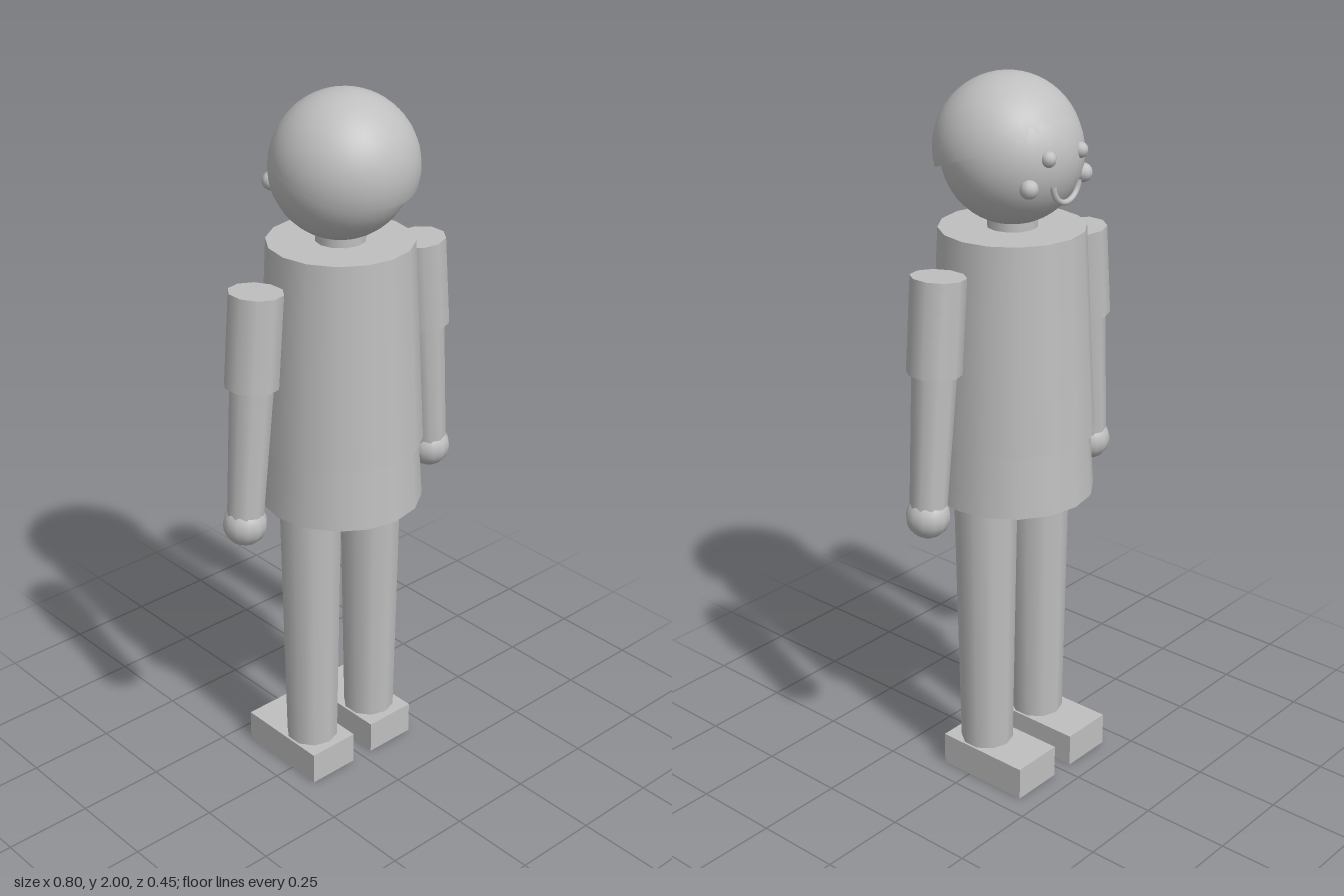
import * as THREE from 'three';

export function createModel() {
  const model = new THREE.Group();
  const grey = new THREE.MeshStandardMaterial({ color: 0xbfbfbf });
  grey.name = 'plainGrey';
  const greyOpen = new THREE.MeshStandardMaterial({ color: 0xbfbfbf, side: THREE.DoubleSide });
  greyOpen.name = 'plainGreyOpen';

  const add = (parent, name, geometry, x, y, z, material = grey) => {
    const mesh = new THREE.Mesh(geometry, material);
    mesh.name = name;
    mesh.position.set(x, y, z);
    parent.add(mesh);
    return mesh;
  };
  // Tapered round part spanning bottom to top
  const taper = (parent, name, rTop, rBottom, top, bottom, sides, x = 0) =>
    add(parent, name, new THREE.CylinderGeometry(rTop, rBottom, top - bottom, sides), x, (top + bottom) / 2, 0);

  // Body
  taper(model, 'torso', 0.196, 0.225, 1.6, 1.03, 16);
  taper(model, 'hips', 0.213, 0.225, 1.03, 0.855, 16);
  taper(model, 'neck', 0.068, 0.068, 1.66, 1.58, 12);

  // Head with a tilted half-sphere of hair; the face looks toward -z
  add(model, 'head', new THREE.SphereGeometry(0.187, 32, 24), 0, 1.797, 0);
  const hair = add(model, 'hair',
    new THREE.SphereGeometry(0.195, 32, 14, 0, Math.PI * 2, 0, Math.PI / 2), 0, 1.805, 0.015, greyOpen);
  hair.rotation.x = 0.345;
  const smile = add(model, 'smile', new THREE.TorusGeometry(0.05, 0.008, 8, 16, Math.PI), 0, 1.745, -0.178);
  smile.rotation.z = Math.PI;

  for (const side of [-1, 1]) {
    // Face details
    add(model, 'eye', new THREE.SphereGeometry(0.021, 10, 8), side * 0.063, 1.817, -0.172);
    add(model, 'cheek', new THREE.SphereGeometry(0.025, 10, 8), side * 0.108, 1.745, -0.147);

    // Leg and foot
    taper(model, 'leg', 0.087, 0.074, 0.87, 0.08, 10, side * 0.112);
    add(model, 'foot', new THREE.BoxGeometry(0.155, 0.095, 0.285), side * 0.112, 0.0475, -0.047);

    // Arm hanging slightly outward from the shoulder
    const arm = new THREE.Group();
    arm.name = 'arm';
    arm.position.set(side * 0.286, 1.532, 0);
    arm.rotation.z = side * 0.085;
    model.add(arm);
    taper(arm, 'sleeve', 0.073, 0.073, 0, -0.255, 10);
    taper(arm, 'forearm', 0.06, 0.05, -0.23, -0.64, 10);
    add(arm, 'hand', new THREE.SphereGeometry(0.06, 12, 10), 0, -0.65, 0);
  }
  return model;
}
